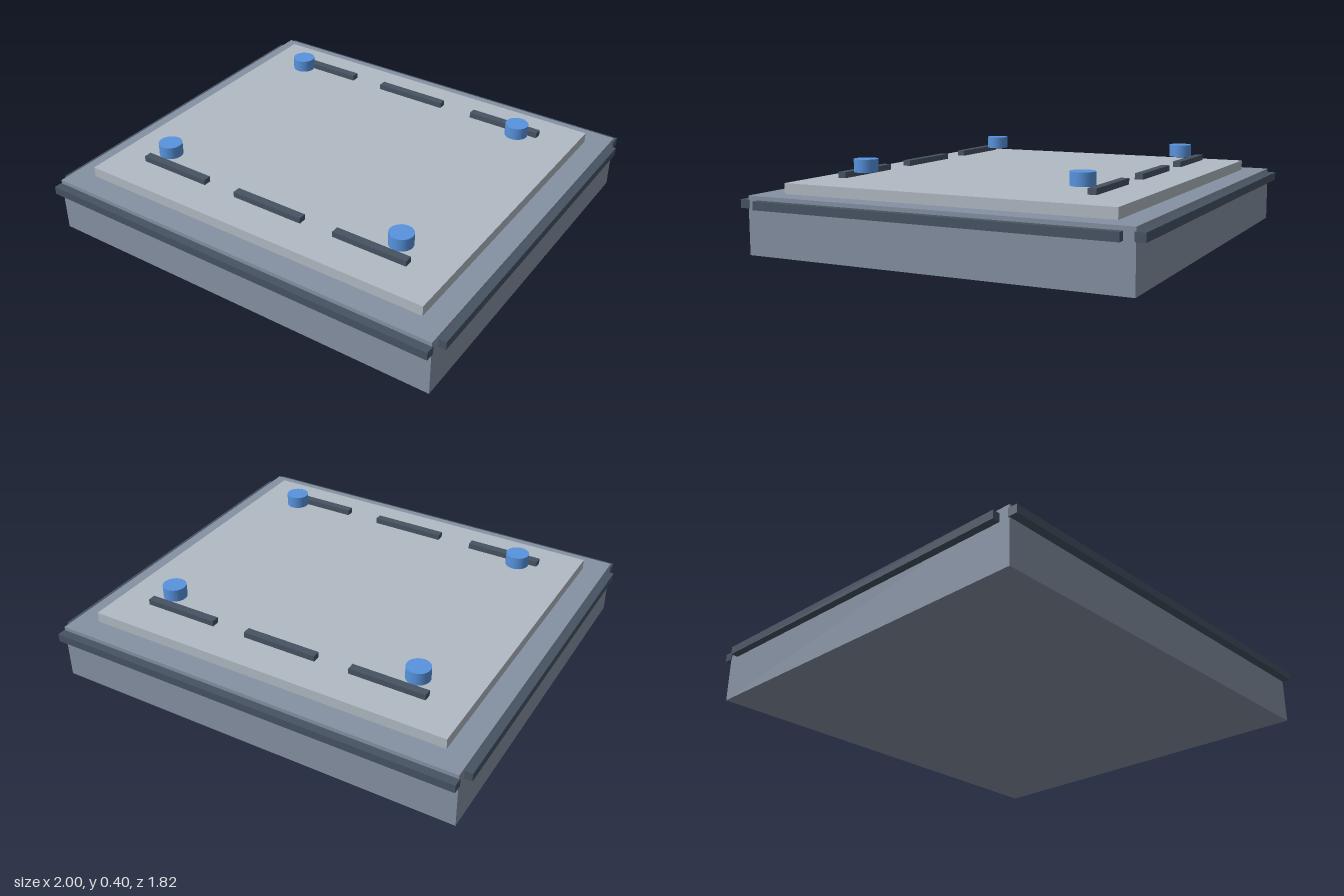
import * as THREE from 'three';

const material = (color) => new THREE.MeshStandardMaterial({ color });

export function createModel() {
  const model = new THREE.Group();
  const bodyMat = material(0x8591a3);
  const plateMat = material(0xb1bac3);
  const darkMat = material(0x475363);
  const blueMat = material(0x5793de);

  const add = (name, geometry, mat, x, y, z) => {
    const mesh = new THREE.Mesh(geometry, mat);
    mesh.name = name;
    mesh.position.set(x, y, z);
    model.add(mesh);
  };
  // Box given by its centre, its width and depth, and its bottom and top heights
  const box = (name, mat, x, z, w, d, y0, y1) =>
    add(name, new THREE.BoxGeometry(w, y1 - y0, d), mat, x, (y0 + y1) / 2, z);

  // Main slab and the raised plate on top
  box('base', bodyMat, 0, 0, 1.932, 1.744, 0, 0.257);
  box('topPlate', plateMat, 0, 0, 1.724, 1.526, 0.257, 0.304);

  const knobGeometry = new THREE.CylinderGeometry(0.0535, 0.0535, 0.057, 24);

  for (const side of [1, -1]) {
    // Rails around the upper edge
    box(side > 0 ? 'frontRail' : 'backRail', darkMat, 0, side * 0.889, 1.94, 0.044, 0.202, 0.239);
    box(side > 0 ? 'leftRail' : 'rightRail', darkMat, side * 0.981, 0, 0.038, 1.644, 0.202, 0.239);

    // Row of three slim bars hovering just above the plate
    for (const x of [-0.516, 0, 0.516]) {
      box(side > 0 ? 'frontBar' : 'backBar', darkMat, x, side * 0.588, 0.352, 0.037, 0.316, 0.342);
    }

    // Round knobs just inside the bars
    for (const x of [-0.613, 0.613]) {
      add(side > 0 ? 'frontKnob' : 'backKnob', knobGeometry, blueMat, x, 0.368, side * 0.515);
    }
  }
  return model;
}
